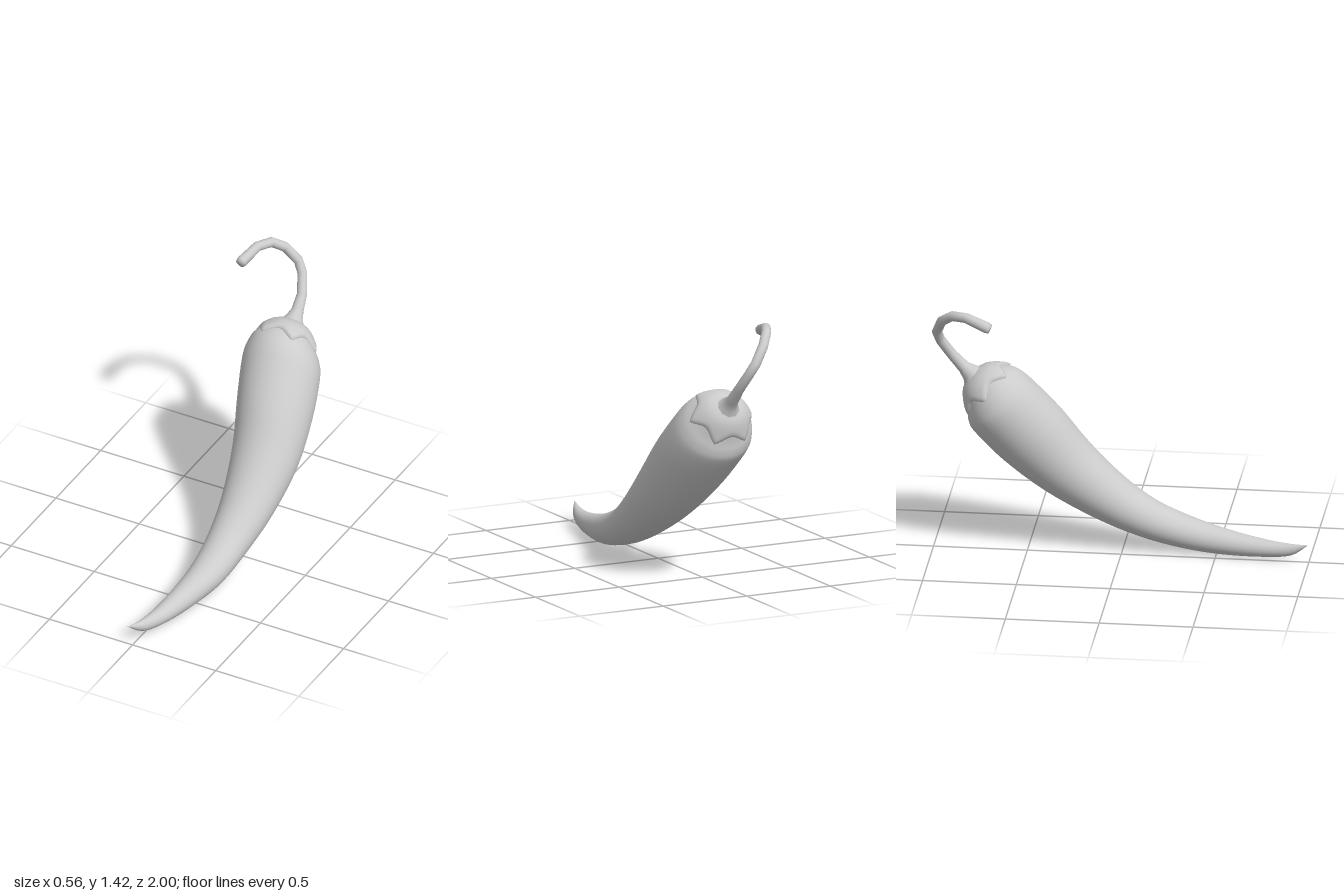
import * as THREE from 'three';

const V = (x, y, z) => new THREE.Vector3(x, y, z);

// Closed-around-the-side skin: point(i, angle) for each row i; rows advance along the axis.
function skin(rows, cols, point) {
  const pos = [], index = [];
  for (let i = 0; i < rows; i++) {
    for (let j = 0; j < cols; j++) pos.push(...point(i, (j / cols) * Math.PI * 2).toArray());
  }
  for (let i = 0; i < rows - 1; i++) {
    for (let j = 0; j < cols; j++) {
      const a = i * cols + j, c = i * cols + ((j + 1) % cols);
      const b = a + cols, d = c + cols;
      index.push(a, b, c, b, d, c);
    }
  }
  const g = new THREE.BufferGeometry();
  g.setAttribute('position', new THREE.Float32BufferAttribute(pos, 3));
  g.setIndex(index);
  g.computeVertexNormals();
  return g;
}

// Pod rings from tip to crown: centre x, y, z, half width, half height, tilt in degrees
const RINGS = [
  [-0.03, 0.11, 1.0, 0, 0, -10],
  [0.005, 0.068, 0.9, 0.028, 0.032, -6],
  [0.04, 0.058, 0.75, 0.05, 0.048, 0],
  [0.073, 0.07, 0.55, 0.072, 0.068, 6],
  [0.1, 0.102, 0.35, 0.095, 0.086, 14],
  [0.107, 0.172, 0.13, 0.116, 0.106, 28],
  [0.11, 0.285, -0.08, 0.147, 0.135, 37],
  [0.095, 0.453, -0.3, 0.184, 0.174, 44],
  [0.057, 0.642, -0.48, 0.21, 0.205, 50],
  [0.02, 0.803, -0.62, 0.217, 0.206, 51],
  [0.008, 0.87, -0.675, 0.2, 0.193, 45],
  [0, 0.915, -0.71, 0.168, 0.16, 42],
  [0, 0.965, -0.762, 0.105, 0.1, 42],
  [0, 0.985, -0.79, 0.035, 0.035, 42],
];
const LAST = RINGS.length - 1;
const centres = new THREE.CatmullRomCurve3(RINGS.map(r => V(r[0], r[1], r[2])), false, 'catmullrom', 0.5);
const sizes = new THREE.CatmullRomCurve3(RINGS.map(r => V(r[3], r[4], r[5])), false, 'catmullrom', 0.5);

// Point on the pod at ring position k (0 to LAST)
function podPoint(k, angle) {
  const t = Math.min(Math.max(k / LAST, 0), 1);
  const c = centres.getPoint(t), s = sizes.getPoint(t);
  const tilt = THREE.MathUtils.degToRad(s.z);
  const h = Math.sin(angle) * s.y;
  return V(c.x + Math.cos(angle) * s.x, c.y + h * Math.cos(tilt), c.z + h * Math.sin(tilt));
}

function podNormal(k, angle) {
  const e = 0.02;
  const dt = podPoint(k + e, angle).sub(podPoint(k - e, angle));
  const da = podPoint(k, angle + e).sub(podPoint(k, angle - e));
  return dt.cross(da).normalize();
}

// Star-shaped leaf cap with six points, lying over the crown
function calyxPoint(i, angle) {
  const lift = [-0.006, 0.009, 0.015, 0.015][Math.min(i, 3)];
  const rim = 11.4 - 0.62 * (1 - Math.abs(Math.sin(angle * 3)));
  const s = Math.max(0, i - 1) / 10 + (i > 1 ? 0.01 : 0);
  const k = THREE.MathUtils.lerp(rim, LAST - 0.05, Math.min(s, 1));
  return podPoint(k, angle).addScaledVector(podNormal(k, angle), lift);
}

// Hooked stem: x, y, z, radius
const STEM = [
  [0, 0.975, -0.78, 0.075],
  [0, 1.0, -0.805, 0.05],
  [0, 1.03, -0.838, 0.034],
  [-0.005, 1.1, -0.9, 0.028],
  [-0.035, 1.19, -0.957, 0.027],
  [-0.068, 1.25, -0.974, 0.027],
  [-0.13, 1.335, -0.942, 0.027],
  [-0.18, 1.387, -0.88, 0.027],
  [-0.22, 1.395, -0.8, 0.027],
  [-0.252, 1.357, -0.685, 0.03],
  [-0.255, 1.352, -0.67, 0.026],
  [-0.2555, 1.351, -0.667, 0],
];
const stemAt = i => V(...STEM[Math.min(Math.max(i, 0), STEM.length - 1)].slice(0, 3));
const hookAxis = V(0.085, 0.048, 0.036).normalize();

function stemPoint(i, angle) {
  const t = stemAt(i + 1).sub(stemAt(i - 1)).normalize();
  const u = hookAxis.clone().addScaledVector(t, -hookAxis.dot(t)).normalize();
  const v = u.clone().cross(t);
  const r = STEM[i][3];
  return stemAt(i).addScaledVector(u, Math.cos(angle) * r).addScaledVector(v, Math.sin(angle) * r);
}

export function createModel() {
  const group = new THREE.Group();
  group.name = 'chiliPepper';
  const material = new THREE.MeshStandardMaterial({ color: 0xcccccc });
  const add = (name, geometry, mat = material) => {
    const mesh = new THREE.Mesh(geometry, mat);
    mesh.name = name;
    group.add(mesh);
  };

  add('pod', skin(LAST * 4 + 1, 40, (i, a) => podPoint(i / 4, a)));

  const leaf = material.clone();
  leaf.side = THREE.DoubleSide;
  add('calyx', skin(12, 96, calyxPoint), leaf);

  add('stem', skin(STEM.length, 10, stemPoint));
  return group;
}
